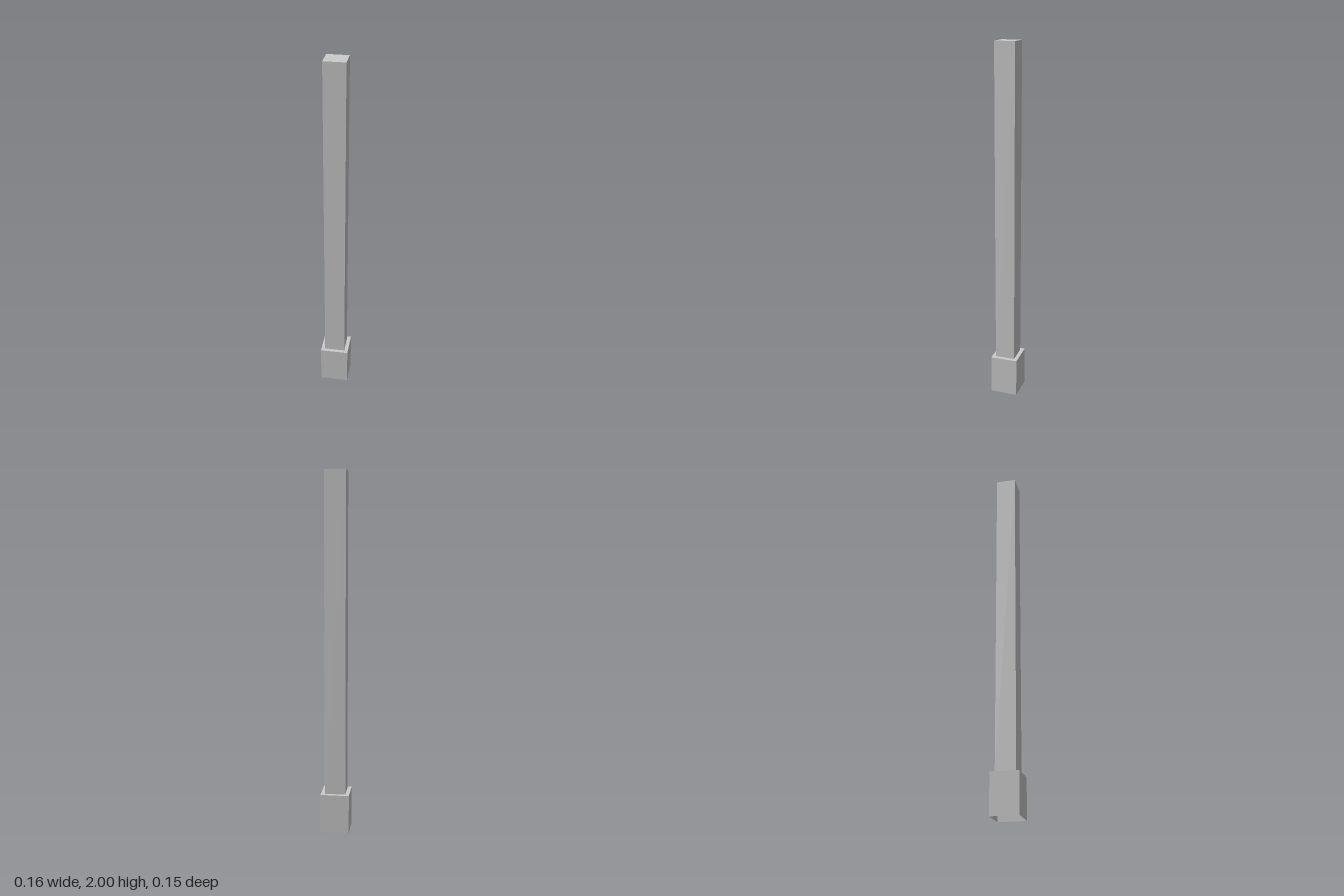
import * as THREE from 'three';

const BASE = 0.0765, POST = 0.0555; // half depths
const LEDGE_Y = 0.22, TOP_Y = 2;
const WIDEN = 1.05; // width slightly exceeds depth
const QUARTER = Math.PI / 4;

export function createModel() {
  const group = new THREE.Group();
  const material = new THREE.MeshStandardMaterial({
    color: 0xcccccc, flatShading: true, side: THREE.DoubleSide,
  });

  function add(name, geometry) {
    geometry.scale(WIDEN, 1, 1);
    const flat = geometry.toNonIndexed();
    flat.computeVertexNormals();
    const mesh = new THREE.Mesh(flat, material);
    mesh.name = name;
    group.add(mesh);
  }

  // four upright walls, open at both ends
  function walls(half, y0, y1) {
    const r = half * Math.SQRT2;
    return new THREE.CylinderGeometry(r, r, y1 - y0, 4, 1, true, QUARTER)
      .translate(0, (y0 + y1) / 2, 0);
  }

  // hollow plinth, open underneath
  add('baseWalls', walls(BASE, 0, LEDGE_Y));

  // square ledge joining plinth and post
  add('baseLedge', new THREE.RingGeometry(POST * Math.SQRT2, BASE * Math.SQRT2, 4, 1, QUARTER)
    .rotateX(-Math.PI / 2).translate(0, LEDGE_Y, 0));

  // hollow post with a closed top
  add('postWalls', walls(POST, LEDGE_Y, TOP_Y));
  add('postTop', new THREE.CircleGeometry(POST * Math.SQRT2, 4, QUARTER)
    .rotateX(-Math.PI / 2).translate(0, TOP_Y, 0));

  return group;
}
